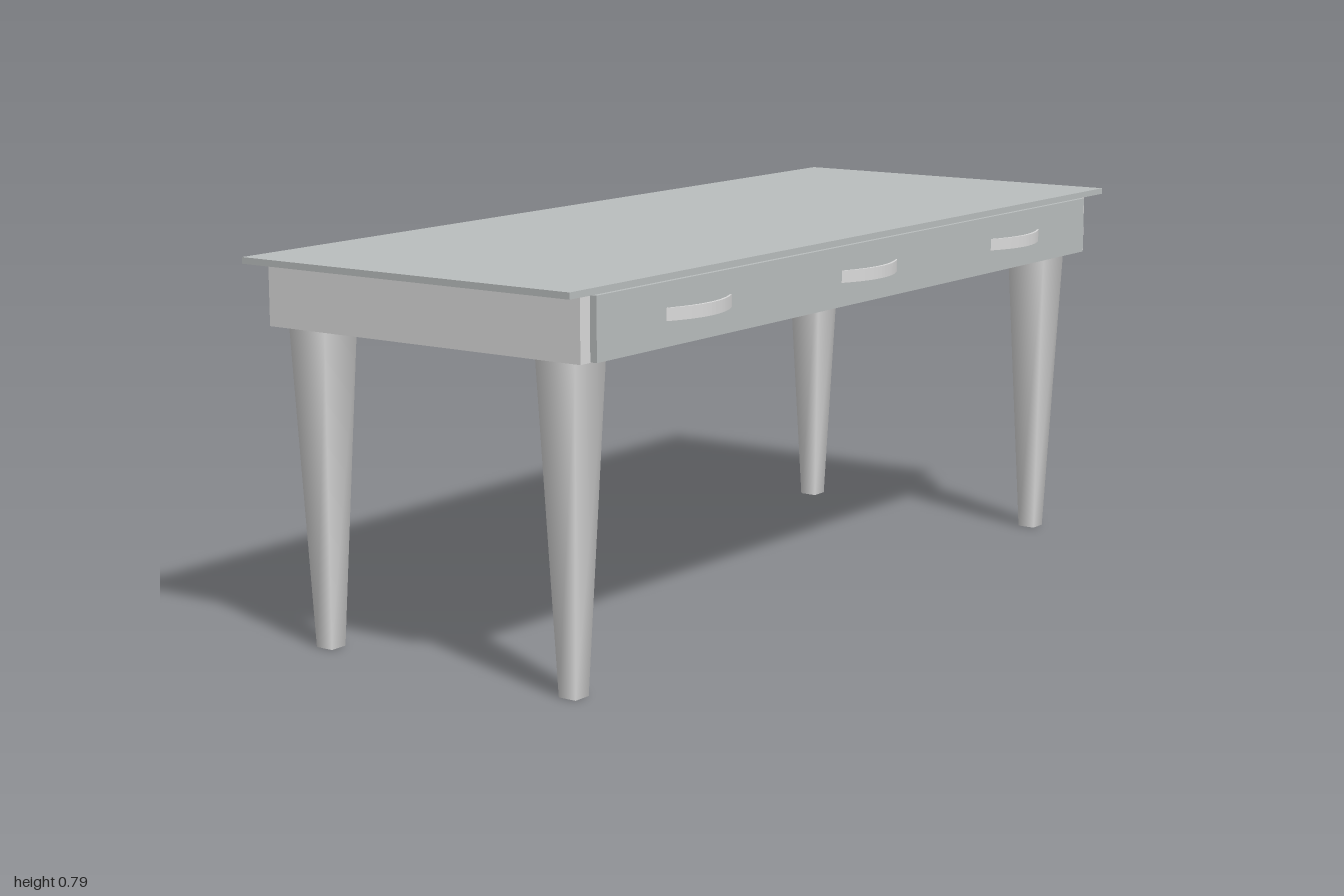
import * as THREE from 'three';

export function createModel() {
  const model = new THREE.Group();
  model.name = 'table';
  const frameMat = new THREE.MeshStandardMaterial({ color: 0xdadada });
  frameMat.name = 'light grey';
  const topMat = new THREE.MeshStandardMaterial({ color: 0xbabebe });
  topMat.name = 'cool grey';

  const add = (name, geometry, material, x, y, z) => {
    const mesh = new THREE.Mesh(geometry, material);
    mesh.name = name;
    mesh.position.set(x, y, z);
    model.add(mesh);
    return mesh;
  };
  const rect = (PathType, x, z0, z1) => new PathType([
    new THREE.Vector2(-x, -z1), new THREE.Vector2(x, -z1),
    new THREE.Vector2(x, -z0), new THREE.Vector2(-x, -z0),
  ]);

  // Thin table top
  add('tableTop', new THREE.BoxGeometry(2, 0.013, 0.8), topMat, 0, 0.7835, -0.012);

  // Hollow apron of thin walls, open below
  const ring = rect(THREE.Shape, 0.947, -0.394, 0.37);
  ring.holes.push(rect(THREE.Path, 0.943, -0.39, 0.366));
  const apron = new THREE.ExtrudeGeometry(ring, { depth: 0.127, bevelEnabled: false });
  apron.rotateX(-Math.PI / 2);
  add('apron', apron, frameMat, 0, 0.65, 0);

  // Drawer front across the apron
  add('drawerFront', new THREE.BoxGeometry(1.836, 0.123, 0.015), topMat, 0, 0.7125, 0.3775);

  // Square tapered legs with soft shading
  const leg = new THREE.CylinderGeometry(0.0465 * Math.SQRT2, 0.02 * Math.SQRT2, 0.65, 4, 1, true, Math.PI / 4);
  for (const x of [-0.871, 0.871]) {
    for (const z of [0.288, -0.325]) add(z > 0 ? 'frontLeg' : 'backLeg', leg, frameMat, x, 0.325, z);
  }

  // Bowed strip handles: half width w, bow depth d
  const w = 0.108, d = 0.03, t = 0.007, n = 16;
  const outline = [];
  for (let i = 0; i <= n; i++) {
    const u = -1 + (2 * i) / n;
    outline.push(new THREE.Vector2(u * w, -d * (1 - u * u)));
  }
  for (let i = n; i >= 0; i--) {
    const u = -1 + (2 * i) / n;
    outline.push(new THREE.Vector2(u * (w - t), -(d - t) * (1 - u * u)));
  }
  const handle = new THREE.ExtrudeGeometry(new THREE.Shape(outline), { depth: 0.025, bevelEnabled: false });
  handle.rotateX(-Math.PI / 2);
  for (const x of [-0.6, 0, 0.6]) add('drawerHandle', handle, frameMat, x, 0.7, 0.384);

  return model;
}
